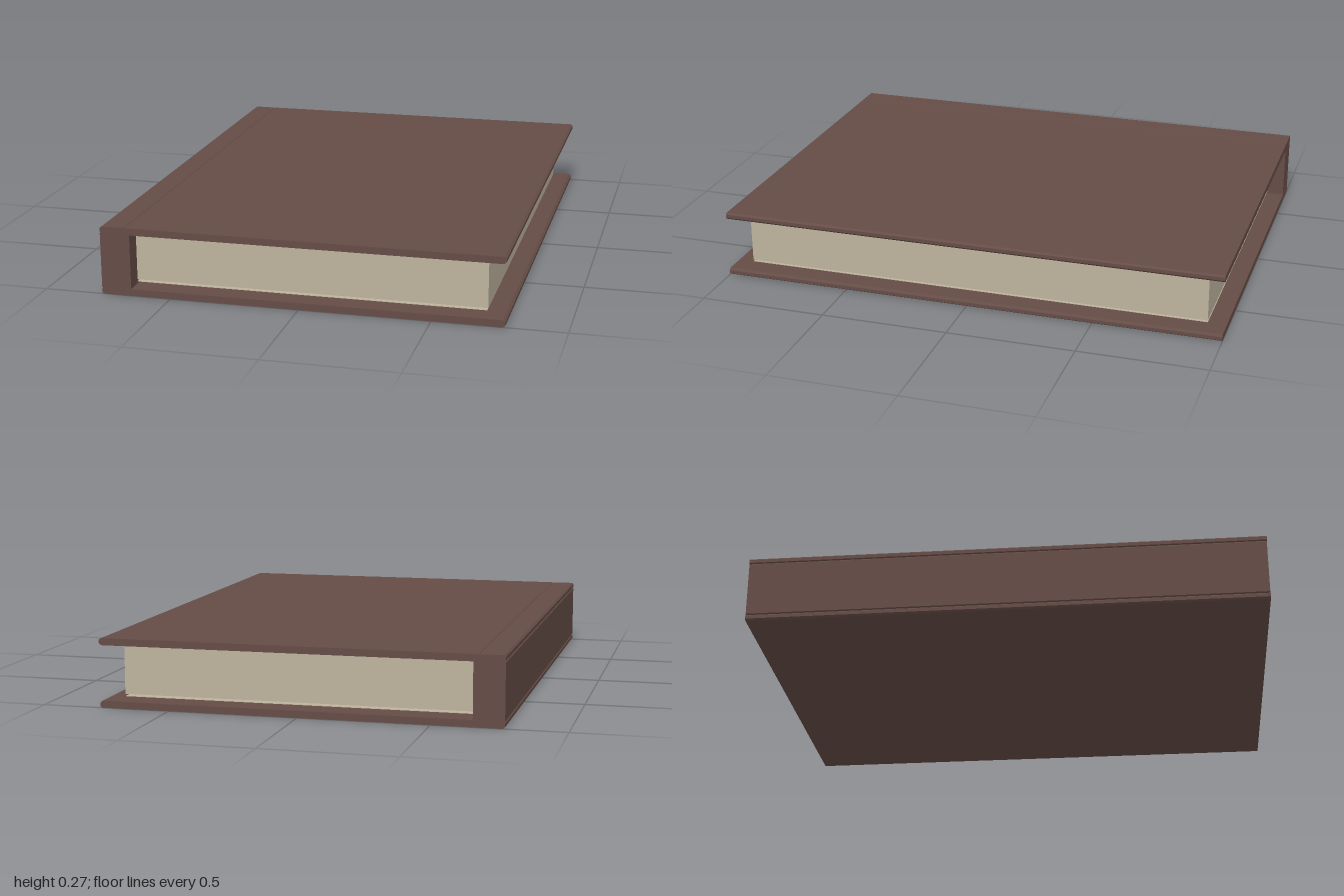
import * as THREE from 'three';

export function createModel() {
  const book = new THREE.Group();
  book.name = 'book';
  const leather = new THREE.MeshStandardMaterial({ name: 'brown cover', color: 0x654c46 });
  const paper = new THREE.MeshStandardMaterial({ name: 'cream paper', color: 0xbdb39e });

  // Extrudes an x/y outline along z, centred on z = 0
  function prism(name, points, depth, material) {
    const shape = new THREE.Shape(points.map(([x, y]) => new THREE.Vector2(x, y)));
    const geometry = new THREE.ExtrudeGeometry(shape, { depth, bevelEnabled: false });
    geometry.translate(0, 0, -depth / 2);
    const mesh = new THREE.Mesh(geometry, material);
    mesh.name = name;
    book.add(mesh);
  }

  function box(name, x0, x1, y0, y1, depth, material) {
    const mesh = new THREE.Mesh(new THREE.BoxGeometry(x1 - x0, y1 - y0, depth), material);
    mesh.position.set((x0 + x1) / 2, (y0 + y1) / 2, 0);
    mesh.name = name;
    book.add(mesh);
  }

  // Cover boards with softened edges; the upper one has a hinge crease
  const H = 0.267;
  const board = [
    [-0.772, 0.006], [-0.765, 0], [0.763, 0], [0.772, 0.006],
    [0.772, 0.019], [0.763, 0.027], [-0.763, 0.027], [-0.772, 0.019],
  ];
  prism('bottomCover', board, 2, leather);
  const crease = [[-0.672, 0], [-0.675, 0.003], [-0.678, 0]];
  const top = [...board.slice(0, 2), ...crease.slice().reverse(), ...board.slice(2)];
  prism('topCover', top.map(([x, y]) => [x, H - y]).reverse(), 2, leather);

  // Spine block between the boards, bevelled along its long edges
  prism('spine', [
    [-0.75, 0.004], [-0.672, 0.004], [-0.655, 0.02], [-0.655, H - 0.02],
    [-0.672, H - 0.004], [-0.75, H - 0.004], [-0.772, 0.24], [-0.772, 0.027],
  ], 1.998, leather);

  // Page block and the loose endpapers above and below it
  box('pages', -0.66, 0.698, 0.043, 0.228, 1.86, paper);
  box('topEndpaper', -0.66, 0.72, 0.231, 0.233, 1.86, paper);
  box('bottomEndpaper', -0.66, 0.695, 0.034, 0.036, 1.86, paper);

  return book;
}
